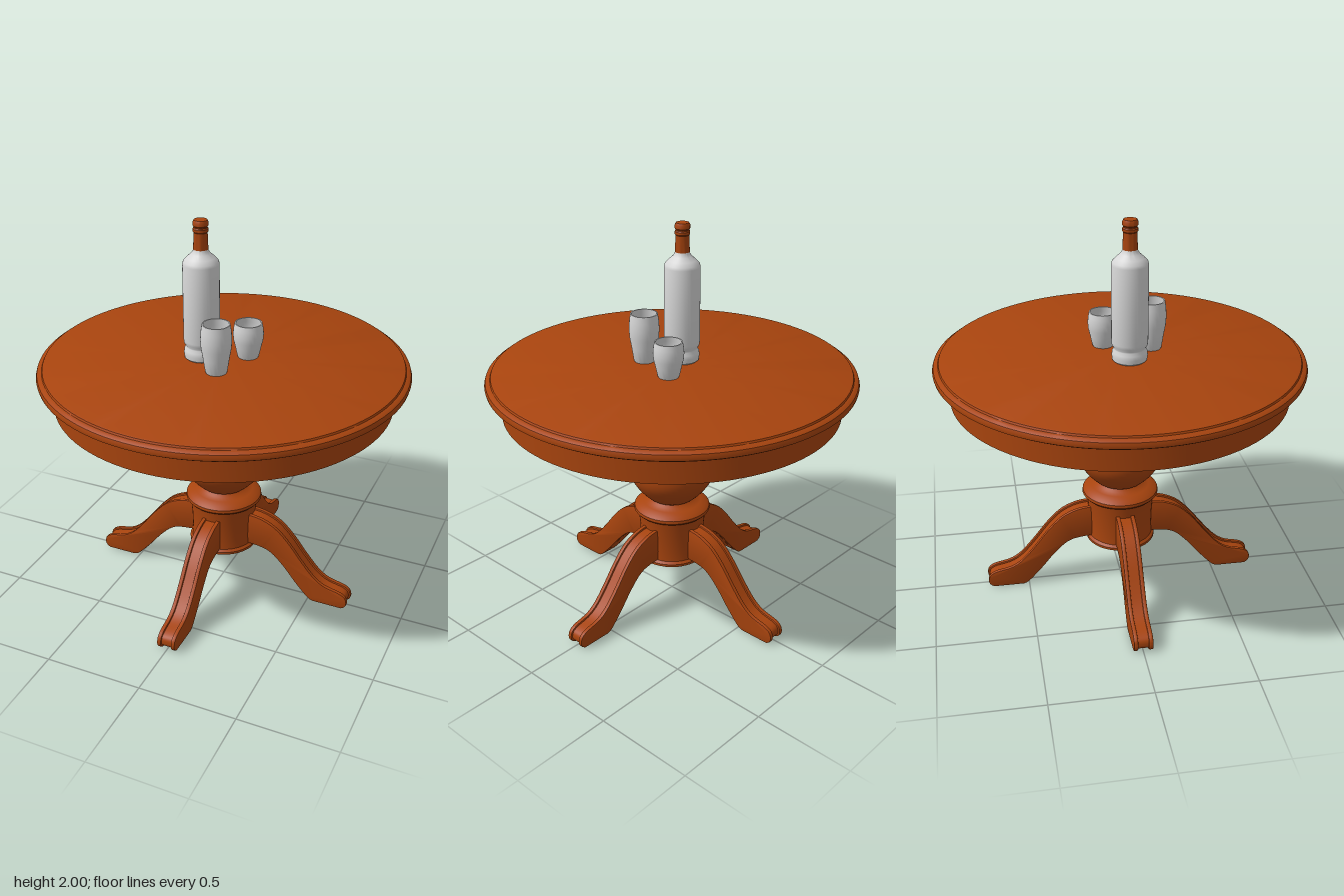
import * as THREE from 'three';
import { toCreasedNormals } from 'three/addons/utils/BufferGeometryUtils.js';

const wood = new THREE.MeshStandardMaterial({ color: 0xa8440e });
wood.name = 'wood';
const glass = new THREE.MeshStandardMaterial({ color: 0xd6d6d6 });
glass.name = 'glass';

const V = (p) => new THREE.Vector2(p[0], p[1]);

// Turned part: profile of [radius, height], outside listed from bottom to top
function turned(name, profile, material, segments = 48) {
  const geo = new THREE.LatheGeometry(profile.map(V), segments);
  const mesh = new THREE.Mesh(toCreasedNormals(geo, 0.6), material);
  mesh.name = name;
  return mesh;
}

const smooth = (pts, n) => new THREE.SplineCurve(pts.map(V)).getPoints(n);

// Leg outline; inset sinks the upper and toe edge to make the groove
const LEG_TOP = [[0.1, 0.45], [0.18, 0.447], [0.25, 0.432], [0.32, 0.395], [0.39, 0.325], [0.46, 0.235],
  [0.53, 0.155], [0.59, 0.115], [0.67, 0.095], [0.705, 0.075], [0.716, 0.045], [0.71, 0.02], [0.69, 0.004]];
const LEG_BOTTOM = [[0.53, 0.004], [0.5, 0.02], [0.43, 0.095], [0.36, 0.18], [0.29, 0.245], [0.22, 0.268], [0.1, 0.277]];

function legLayer(name, inset, width, offset) {
  const edge = smooth(LEG_TOP, 44);
  const upper = edge.map((p, i) => {
    const a = edge[Math.max(i - 1, 0)], b = edge[Math.min(i + 1, edge.length - 1)];
    const t = b.clone().sub(a).normalize();
    return new THREE.Vector2(p.x + t.y * inset, Math.max(p.y - t.x * inset, 0.004));
  });
  const shape = new THREE.Shape([...upper, ...smooth(LEG_BOTTOM, 24)]);
  const bevel = inset ? 0 : 0.004;
  const geo = new THREE.ExtrudeGeometry(shape, {
    depth: width - 2 * bevel, bevelEnabled: bevel > 0, bevelThickness: bevel,
    bevelSize: bevel, bevelOffset: -bevel, bevelSegments: 2,
  });
  geo.translate(0, 0, offset - width / 2 + bevel);
  const mesh = new THREE.Mesh(toCreasedNormals(geo, 0.6), wood);
  mesh.name = name;
  return mesh;
}

// Drinking glass with a hollow inside
function tumbler(name, h, x, z) {
  const mesh = turned(name, [[0, 0], [0.05, 0], [0.054, 0.008], [0.064, h * 0.3], [0.073, h * 0.5], [0.076, h * 0.68],
    [0.073, h * 0.86], [0.068, h], [0.062, h], [0.066, h * 0.86], [0.069, h * 0.68], [0.066, h * 0.5],
    [0.056, h * 0.25], [0.046, 0.02], [0, 0.02]], glass, 32);
  mesh.position.set(x, 1.3, z);
  return mesh;
}

export function createModel() {
  const model = new THREE.Group();
  model.name = 'pedestalTable';

  // Table top with rounded rim, and the hollow apron below it
  model.add(turned('tableTop', [[0, 1.24], [0.905, 1.24], [0.917, 1.248], [0.92, 1.262], [0.915, 1.277],
    [0.902, 1.286], [0.892, 1.288], [0.888, 1.297], [0.88, 1.3], [0, 1.3]], wood, 96));
  model.add(turned('apron', [[0.815, 1.242], [0.815, 1.1], [0.845, 1.1], [0.845, 1.242]], wood, 96));

  // Pedestal: plinth, turned bulb and capital
  const bulb = smooth([[0.112, 0.578], [0.135, 0.595], [0.18, 0.645], [0.212, 0.7], [0.22, 0.755], [0.207, 0.81],
    [0.175, 0.865], [0.148, 0.91], [0.135, 0.955]], 28);
  model.add(turned('plinth', [[0, 0.24], [0.17, 0.24], [0.18, 0.247], [0.18, 0.26], [0.168, 0.272], [0.165, 0.32],
    [0.168, 0.42], [0.176, 0.5], [0.19, 0.505], [0.198, 0.515], [0.196, 0.53], [0.18, 0.545], [0.15, 0.556],
    [0.125, 0.566], [0.112, 0.58], [0, 0.58]], wood));
  model.add(turned('bulb', bulb.map((p) => [p.x, p.y]), wood));
  model.add(turned('capital', [[0, 0.952], [0.135, 0.952], [0.142, 0.958], [0.142, 0.968], [0.13, 0.974], [0.13, 0.98],
    [0.142, 0.985], [0.144, 0.997], [0.136, 1.008], [0.138, 1.02], [0.15, 1.035], [0.175, 1.045], [0.205, 1.05],
    [0.225, 1.058], [0.23, 1.068], [0.222, 1.077], [0.212, 1.082], [0.212, 1.242]], wood));

  // Four curved legs, each two cheeks with a sunken middle
  for (let i = 0; i < 4; i++) {
    const leg = new THREE.Group();
    leg.name = 'leg' + (i + 1);
    leg.add(legLayer('legCore', 0.01, 0.056, 0));
    for (const s of [-1, 1]) leg.add(legLayer('legCheek', 0, 0.021, s * 0.0375));
    leg.rotation.y = (i * Math.PI) / 2;
    model.add(leg);
  }

  // Bottle with a wood-coloured wrapped neck
  const bottle = new THREE.Group();
  bottle.name = 'bottle';
  bottle.add(turned('bottleBody', [[0, 0], [0.075, 0], [0.085, 0.008], [0.088, 0.03], [0.086, 0.05], [0.078, 0.064],
    [0.078, 0.07], [0.087, 0.085], [0.089, 0.1], [0.089, 0.485], [0.085, 0.5], [0.068, 0.518], [0.047, 0.537],
    [0.038, 0.55], [0.035, 0.562], [0, 0.562]], glass, 40));
  bottle.add(turned('bottleNeck', [[0, 0.558], [0.036, 0.558], [0.033, 0.64], [0.037, 0.645], [0.037, 0.658],
    [0.033, 0.663], [0.033, 0.668], [0.037, 0.673], [0.037, 0.69], [0.032, 0.7], [0, 0.7]], wood, 32));
  bottle.position.set(-0.106, 1.3, 0.03);
  model.add(bottle);

  model.add(tumbler('tallGlass', 0.25, 0.03, 0.16));
  model.add(tumbler('shortGlass', 0.18, 0.1, -0.07));
  return model;
}
